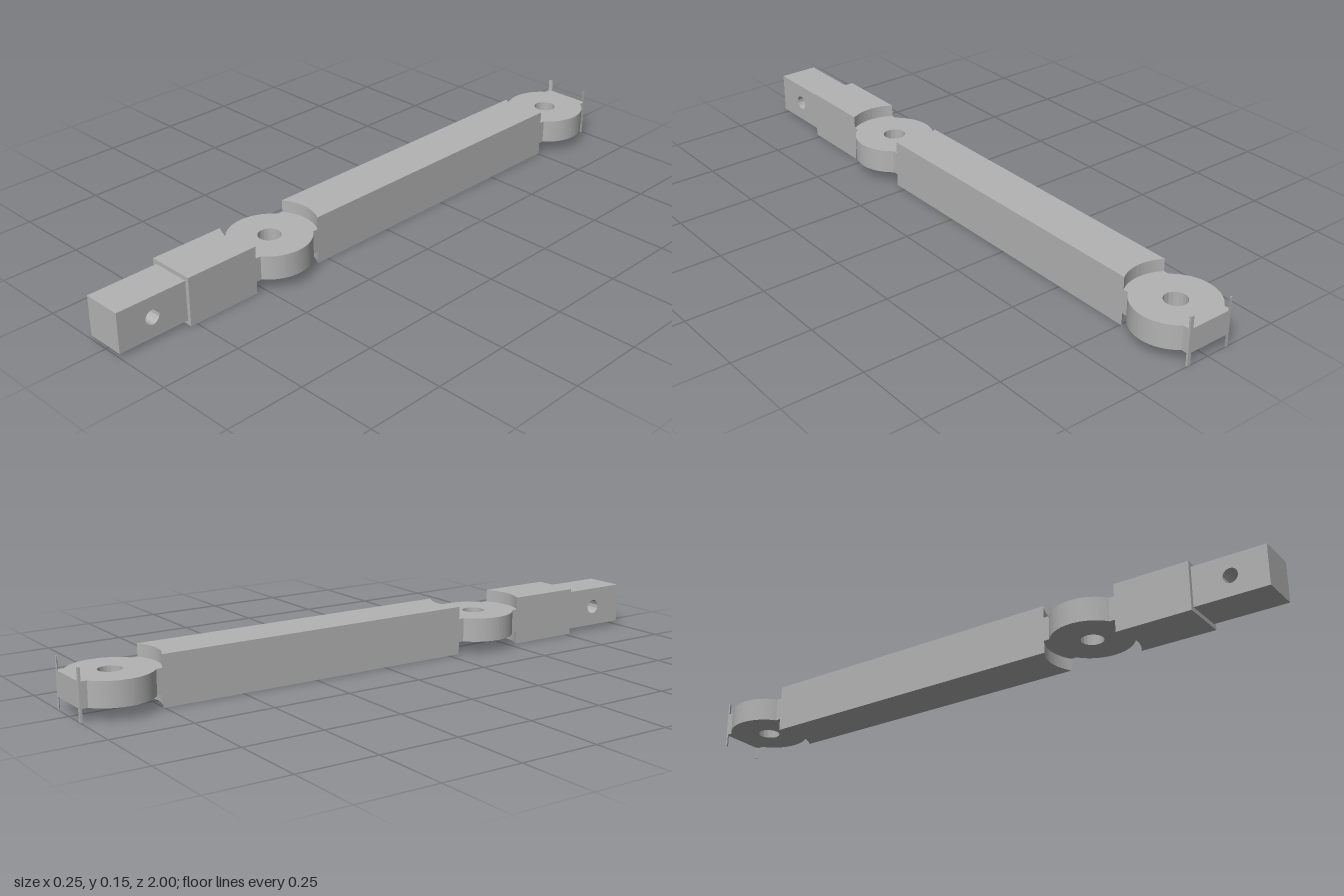
import * as THREE from 'three';
import { toCreasedNormals } from 'three/addons/utils/BufferGeometryUtils.js';

const W = 0.0765;            // half width of the square bar
const H = 0.154;             // bar height
const R = 0.142;             // clearance notch radius
const D = 0.1275;            // hinge disc radius
const FRONT = -0.41;         // hinge centres, measured towards the back
const BACK = 0.874;
const END = 1 - BACK;        // from the rear hinge centre to the rear end
const Q = Math.PI / 2;
const b = Math.asin(W / R);  // half angle of the notch across the bar
const a = Math.asin(W / D);  // half angle of the disc across the bar

const steel = new THREE.MeshStandardMaterial({ color: 0xb3b3b3 });
steel.name = 'steel grey';

function extrude(shape, depth) {
  return new THREE.ExtrudeGeometry(shape, { depth, bevelEnabled: false, curveSegments: 32 });
}

function mesh(name, geometry) {
  const m = new THREE.Mesh(toCreasedNormals(geometry, 0.5), steel);
  m.name = name;
  return m;
}

// Plan outline (x, back) raised from y0 to y1
function slab(name, shape, y0, y1) {
  return mesh(name, extrude(shape, y1 - y0).rotateX(-Q).translate(0, y0, 0));
}

function hole(shape, x, y, r) {
  shape.holes.push(new THREE.Path().absarc(x, y, r, 0, Math.PI * 2, true));
}

// Disc with a web of bar width running to the notches
function hingeShape(c, squareEnd) {
  const s = new THREE.Shape();
  s.absarc(0, c, D, a - Q, Q - a, false);
  if (squareEnd) s.lineTo(W, c + END).lineTo(-W, c + END);
  else s.absarc(0, c, R, Q - b, Q + b, false);
  s.absarc(0, c, D, Q + a, 3 * Q - a, false);
  s.absarc(0, c, R, 3 * Q - b, 3 * Q + b, false);
  hole(s, 0, c, 0.035);
  return s;
}

export function createModel() {
  const group = new THREE.Group();
  group.name = 'hingedArm';

  // Long bar, notched at both ends
  const bar = new THREE.Shape();
  bar.absarc(0, FRONT, R, Q + b, Q - b, true);
  bar.absarc(0, BACK, R, 3 * Q + b, 3 * Q - b, true);
  group.add(slab('mainBar', bar, 0, H));

  // Short block in front of the first hinge
  const block = new THREE.Shape();
  block.moveTo(-W, -0.77);
  block.lineTo(W, -0.77);
  block.absarc(0, FRONT, R, b - Q, -Q - b, true);
  group.add(slab('frontBlock', block, 0, H));

  // Hinge discs
  group.add(slab('frontHinge', hingeShape(FRONT, false), 0.039, 0.115));
  group.add(slab('rearHinge', hingeShape(BACK, true), 0.039, 0.115));

  // Thin corner prongs left by the rear notch
  const e = Math.acos(END / R);
  for (const side of [1, -1]) {
    const prong = new THREE.Shape();
    prong.moveTo(side * W, BACK + END);
    prong.lineTo(side * R * Math.sin(e), BACK + END);
    prong.absarc(0, BACK, R, Q - side * e, Q - side * b, side > 0);
    const label = side > 0 ? 'left' : 'right';
    group.add(slab(label + 'UpperProng', prong, 0.115, H));
    group.add(slab(label + 'LowerProng', prong, 0, 0.039));
  }

  // Narrower plug with a cross hole
  const plug = new THREE.Shape();
  plug.moveTo(0.77, 0.0135);
  plug.lineTo(1, 0.0135);
  plug.lineTo(1, 0.1405);
  plug.lineTo(0.77, 0.1405);
  hole(plug, 0.886, 0.077, 0.023);
  group.add(mesh('frontPlug', extrude(plug, 0.127).rotateY(-Q).translate(0.0635, 0, 0)));

  return group;
}
